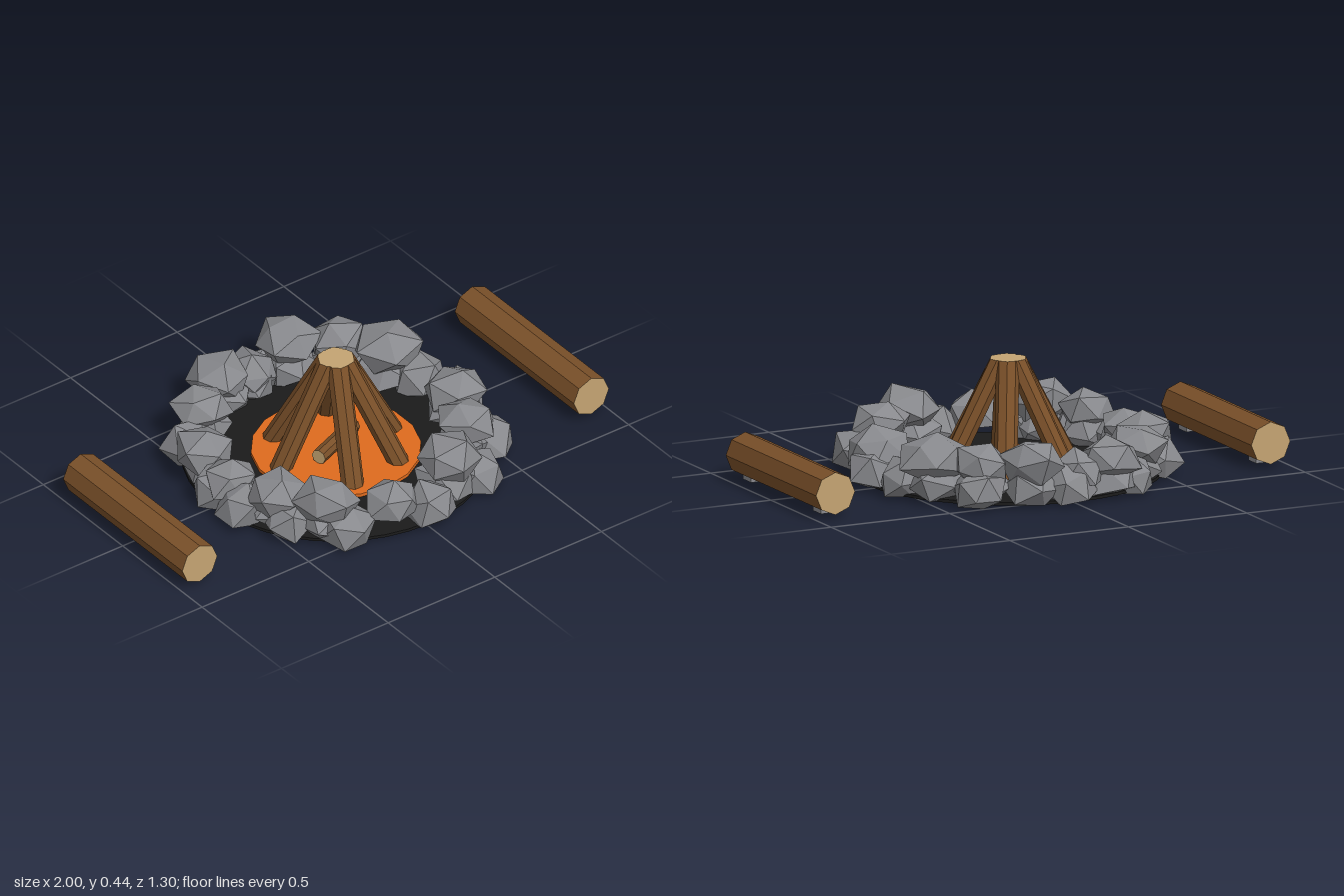
import * as THREE from 'three';
import { mergeVertices } from 'three/addons/utils/BufferGeometryUtils.js';

const material = (name, color) => {
  const m = new THREE.MeshStandardMaterial({ color, flatShading: true });
  m.name = name;
  return m;
};

// Small seeded generator for the stone shapes
function seeded(seed) {
  return () => {
    seed = (seed * 16807) % 2147483647;
    return seed / 2147483647;
  };
}

export function createModel() {
  const bark = material('bark brown', 0x7a5029);
  const cutWood = material('cut wood', 0xc4a472);
  const rock = material('stone grey', 0x88898d);
  const ash = material('charred black', 0x1b1b1b);
  const ember = material('ember orange', 0xde6b1e);

  const root = new THREE.Group();
  root.name = 'campfire';
  const add = (name, geometry, mat, parent = root) => {
    const mesh = new THREE.Mesh(geometry, mat);
    mesh.name = name;
    parent.add(mesh);
    return mesh;
  };
  const logMaterials = [bark, cutWood, cutWood];

  // Charred ground and ember bed
  add('ashBed', new THREE.CylinderGeometry(0.585, 0.585, 0.012, 40).translate(0, 0.016, 0), ash);
  add('emberBed', new THREE.CylinderGeometry(0.322, 0.322, 0.016, 18).translate(0, 0.028, 0), ember);

  // Irregular faceted stone, flattened where it meets the ground
  const random = seeded(4217);
  function stone(name, x, y, z, rx, ry, floor) {
    let g = new THREE.IcosahedronGeometry(1, 0);
    g.deleteAttribute('normal');
    g.deleteAttribute('uv');
    g = mergeVertices(g);
    const spin = new THREE.Euler(random() * 6.28, random() * 6.28, random() * 6.28);
    const p = g.attributes.position;
    const v = new THREE.Vector3();
    for (let i = 0; i < p.count; i++) {
      v.fromBufferAttribute(p, i).applyEuler(spin).multiplyScalar(0.87 + random() * 0.3);
      p.setXYZ(i, x + v.x * rx, Math.max(floor, y + v.y * ry), z + v.z * rx);
    }
    g = g.toNonIndexed();
    g.computeVertexNormals();
    add(name, g, rock);
  }

  // Upper stones: x, z, radius, top height
  const upper = [
    [-0.17, -0.51, 0.125, 0.23], [0.16, -0.52, 0.12, 0.26], [0.33, -0.43, 0.115, 0.24],
    [-0.35, -0.38, 0.12, 0.24], [-0.49, -0.17, 0.11, 0.22], [-0.51, 0.03, 0.1, 0.2],
    [-0.45, 0.23, 0.11, 0.23], [-0.34, 0.4, 0.12, 0.245], [-0.11, 0.5, 0.11, 0.21],
    [0.18, 0.46, 0.13, 0.26], [0.38, 0.31, 0.12, 0.26], [0.51, 0.07, 0.125, 0.22],
    [0.45, -0.28, 0.135, 0.25], [-0.03, -0.51, 0.11, 0.19],
  ];
  for (const [x, z, r, top] of upper) stone('upperStone', x, top - 0.09, z, r, 0.092, 0.075);

  // Outer stones half sunk into the ground: x, z, radius
  const outer = [
    [0.02, -0.55, 0.1], [-0.27, -0.49, 0.1], [-0.46, -0.31, 0.105], [-0.53, -0.02, 0.105],
    [-0.53, 0.13, 0.1], [-0.45, 0.3, 0.11], [-0.3, 0.47, 0.115], [0.03, 0.545, 0.11],
    [0.3, 0.47, 0.11], [0.46, 0.32, 0.11], [0.56, 0.02, 0.1], [0.52, -0.16, 0.11],
    [0.36, -0.47, 0.11],
  ];
  outer.forEach(([x, z, r], i) => stone('outerStone', x, 0.055, z, r, 0.1, i === 6 ? 0 : 0.006));

  // Inner supports beneath the upper stones, with one gap at the front
  upper.forEach(([x, z, r], i) => {
    if (i !== 8) stone('lowerStone', x * 0.98, 0.065, z * 0.98, r * 0.9, 0.095, i % 2 ? 0.007 : 0.014);
  });

  // Leaning logs with level-cut tops, meeting at the peak
  const peak = 0.445, foot = 0.024;
  for (const degrees of [4, 56, 112, 184, 234, 299]) {
    const g = new THREE.CylinderGeometry(0.044, 0.044, peak - foot, 8);
    g.translate(0, (peak + foot) / 2, 0);
    const p = g.attributes.position;
    for (let i = 0; i < p.count; i++) {
      const drop = (peak - p.getY(i)) / (peak - foot);
      p.setX(i, p.getX(i) + 0.028 + 0.223 * drop);
    }
    g.computeVertexNormals();
    add('leaningLog', g, logMaterials).rotation.y = -THREE.MathUtils.degToRad(degrees);
  }

  // Short log lying on the embers
  const kindling = add('kindlingLog',
    new THREE.CylinderGeometry(0.03, 0.03, 0.25, 8).rotateZ(Math.PI / 2), logMaterials);
  kindling.position.y = 0.064;
  kindling.rotation.y = 0.38;

  // Bench logs on small stone feet
  for (const side of [-1, 1]) {
    const bench = new THREE.Group();
    bench.name = side > 0 ? 'leftBench' : 'rightBench';
    bench.position.x = side * 0.918;
    root.add(bench);
    add('benchLog', new THREE.CylinderGeometry(0.082, 0.082, 0.75, 8).rotateX(Math.PI / 2),
      logMaterials, bench).position.y = 0.095;
    for (const z of [-0.29, 0.29]) {
      add('benchFoot', new THREE.BoxGeometry(0.07, 0.022, 0.065), rock, bench).position.set(0, 0.02, z);
    }
  }
  return root;
}
